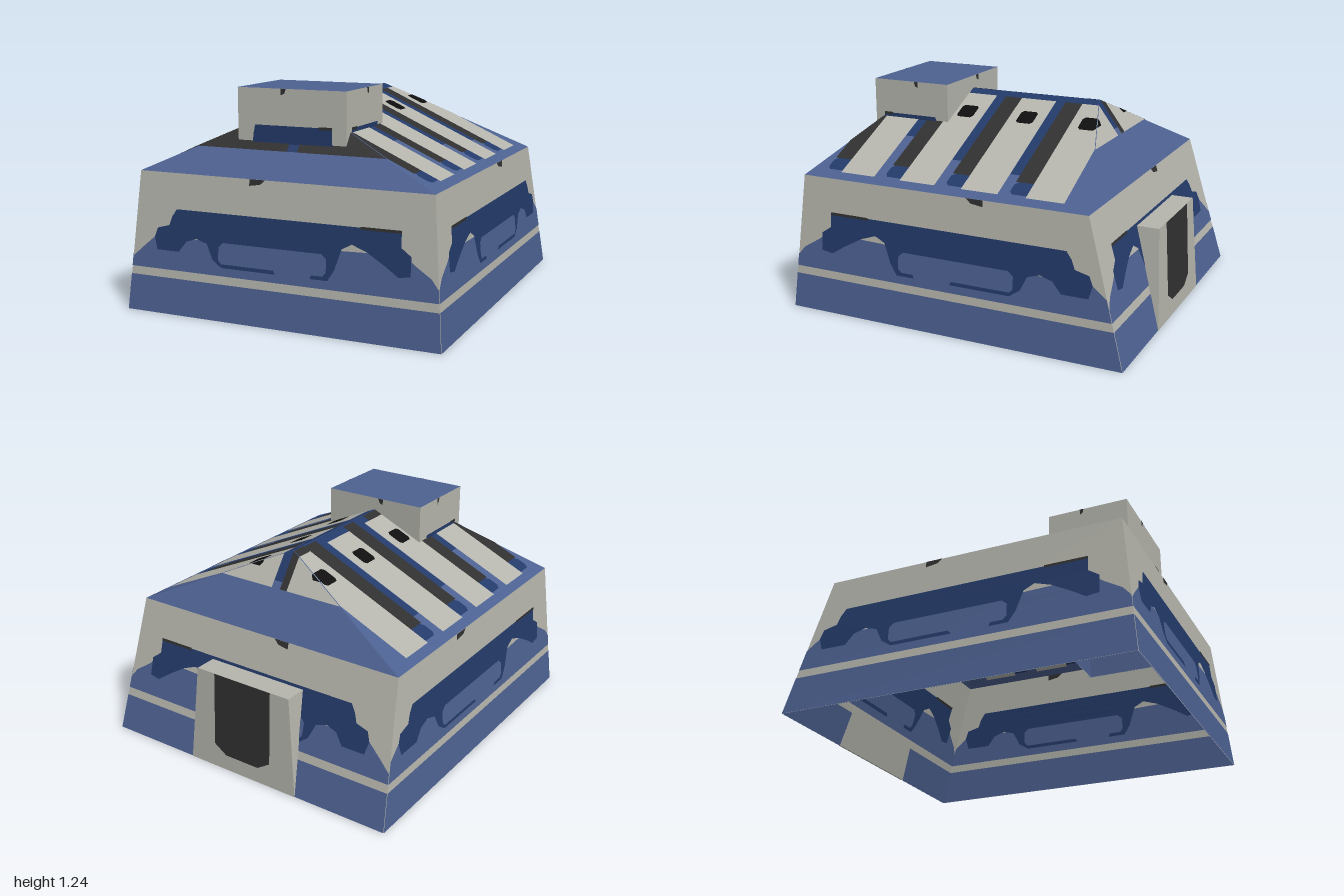
import * as THREE from 'three';
import { ConvexGeometry } from 'three/addons/geometries/ConvexGeometry.js';

const mat = (name, color) => new THREE.MeshStandardMaterial({ name, color, side: THREE.DoubleSide });
const V = (x, y, z) => new THREE.Vector3(x, y, z);
const lerp = THREE.MathUtils.lerp;
const rect = (a0, b0, a1, b1) => [[a0, b0], [a1, b0], [a1, b1], [a0, b1]];
const area = p => THREE.ShapeUtils.area(p.map(([x, y]) => ({ x, y })));

// Clip a 2D polygon to a convex outline
function clip(poly, outline) {
  const o = area(outline) < 0 ? [...outline].reverse() : outline;
  let out = poly;
  for (let i = 0; i < o.length; i++) {
    const [ax, ay] = o[i], [bx, by] = o[(i + 1) % o.length];
    const d = p => (bx - ax) * (p[1] - ay) - (by - ay) * (p[0] - ax);
    const src = out;
    out = [];
    src.forEach((p, k) => {
      const q = src[(k + 1) % src.length], dp = d(p), dq = d(q);
      if (dp >= 0) out.push(p);
      if ((dp > 0 && dq < 0) || (dp < 0 && dq > 0)) {
        const t = dp / (dp - dq);
        out.push([lerp(p[0], q[0], t), lerp(p[1], q[1], t)]);
      }
    });
  }
  return out;
}

// A face has a convex 2D outline and a map from 2D to 3D.
// Layer 0 is the surface; higher layers are thin paint on both of its sides.
function paint(group, face, poly, material, layer, name) {
  const p = clip(poly, face.outline);
  if (p.length < 3 || Math.abs(area(p)) < 1e-5) return;
  const [a, b, c] = face.outline.map(q => face.map(...q));
  const n = b.clone().sub(a).cross(c.clone().sub(a)).normalize();
  for (const s of layer ? [-1, 1] : [0]) {
    const g = new THREE.ShapeGeometry(new THREE.Shape(p.map(q => new THREE.Vector2(...q))));
    const pos = g.attributes.position;
    for (let i = 0; i < pos.count; i++) {
      const v = face.map(pos.getX(i), pos.getY(i)).addScaledVector(n, s * layer * 0.002);
      pos.setXYZ(i, v.x, v.y, v.z);
    }
    g.computeVertexNormals();
    const mesh = new THREE.Mesh(g, material);
    mesh.name = name;
    group.add(mesh);
  }
}

export function createModel() {
  const light = mat('light grey', 0xb5b5ad), blue = mat('blue', 0x4d6191);
  const navy = mat('dark blue', 0x233a69), charcoal = mat('charcoal', 0x303030);
  const black = mat('black', 0x0e0e0e);
  const model = new THREE.Group();
  model.name = 'building';
  const part = name => {
    const g = new THREE.Group();
    g.name = name;
    model.add(g);
    return g;
  };

  // Wall pattern: s runs -1..1 across a wall, y runs up
  const H = 0.775;
  const hills = [[-1.1, .245], [1.1, .245], [1.1, .27], [.98, .30], [.93, .36], [.83, .42], [.78, .46],
    [.7, .46], [-.7, .42], [-.82, .42], [-.91, .35], [-.97, .30], [-1.1, .26]];
  const panel = [[-.67, .58], [.75, .58], [.75, .5], [.81, .46], [.81, .36], [.74, .35], [.66, .40], [.55, .46],
    [.46, .49], [.40, .46], [.36, .35], [.32, .29], [-.36, .29], [-.42, .33], [-.46, .41], [-.53, .43],
    [-.6, .41], [-.65, .35], [-.8, .35], [-.82, .42], [-.80, .47], [-.72, .49], [-.70, .54]];
  const inset = [[-.38, .33], [-.36, .31], [-.02, .31], [0, .285], [.21, .285], [.22, .31], [.29, .31],
    [.31, .33], [.31, .40], [.28, .425], [-.35, .425], [-.38, .40]];
  const wallPaint = [
    ['baseBand', rect(-1.1, 0, 1.1, .2), blue, 1],
    ['hillBand', hills, blue, 1],
    ['darkPanel', panel, navy, 2],
    ['panelInset', inset, blue, 3],
    ['panelTrim', rect(.51, .57, .75, .585), charcoal, 3],
    ['topMark', [[-.19, .74], [-.12, .75], [-.09, H], [-.19, H]], charcoal, 1]
  ];

  // Four sloping walls between a bottom and a top rectangle [halfX, zBack, zFront]
  function walls(group, y0, bottom, top) {
    const [hx, zb, zf] = bottom, cz = (zb + zf) / 2, hz = (zf - zb) / 2;
    const at = (i, y) => lerp(bottom[i], top[i], y / H);
    const faces = [];
    for (const i of [1, 2]) {
      faces.push({
        outline: [[-1, 0], [1, 0], [top[0] / hx, H], [-top[0] / hx, H]],
        map: (s, y) => V(s * hx, y0 + y, at(i, y))
      });
    }
    for (const side of [-1, 1]) {
      faces.push({
        outline: [[-1, 0], [1, 0], [(top[2] - cz) / hz, H], [(top[1] - cz) / hz, H]],
        map: (s, y) => V(side * at(0, y), y0 + y, cz + s * hz)
      });
    }
    for (const f of faces) {
      paint(group, f, f.outline, light, 0, 'wall');
      for (const [name, poly, m, layer] of wallPaint) paint(group, f, poly, m, layer, name);
    }
  }
  const bottom = [.92, -1, 1], top = [.855, -.78, .93];
  walls(part('mainWalls'), 0, bottom, top);

  // Hipped roof, with paint laid out in plan (x, z)
  const roof = part('roof');
  const rise = .39, zb = -.49, zf = .62, [rx, rb, rf] = top;
  const slopes = [
    { outline: [[-rx, rf], [rx, rf], [0, zf]], map: (x, z) => V(x, H + rise * (rf - z) / (rf - zf), z) },
    { outline: [[-rx, rb], [rx, rb], [0, zb]], map: (x, z) => V(x, H + rise * (z - rb) / (zb - rb), z) }
  ];
  for (const s of [-1, 1]) {
    slopes.push({
      outline: [[0, zb], [0, zf], [s * rx, rf], [s * rx, rb]],
      map: (x, z) => V(x, H + rise * (1 - s * x / rx), z)
    });
  }
  const roofPaint = [['ridge', rect(-.05, -.6, .05, .82), navy, 1]];
  const gapHalf = [.65, .6, .46, 0];
  for (let i = 0; i < 4; i++) {
    const z = -.625 + i * .376;
    if (gapHalf[i]) roofPaint.push(['gap', rect(-gapHalf[i], z + .31, gapHalf[i], z + .376), navy, 1]);
    for (const s of [-1, 1]) {
      roofPaint.push(
        ['slat', rect(s * .05, z, s * .803, z + .215), light, 2],
        ['slatShade', rect(s < 0 ? -.01 : .05, z + .215, s * .7, z + .318), charcoal, 2],
        ['slatEnd', [[s * .7, z + .215], [s * .79, z + .215], [s * .79, z + .3], [s * .77, z + .318],
          [s * .72, z + .318], [s * .7, z + .3]], navy, 2]
      );
      const cx = s < 0 ? -.22 : .21;
      roofPaint.push(['vent', [[cx - .05, z + .07], [cx - .035, z + .057], [cx + .035, z + .057], [cx + .05, z + .07],
        [cx + .05, z + .147], [cx + .035, z + .16], [cx - .035, z + .16], [cx - .05, z + .147]], black, 3]);
    }
    if (i % 2 === 0) roofPaint.push(['ridgeShade', rect(-.05, z + (i ? .05 : 0), -.005, z + .215), charcoal, 2]);
  }
  for (const f of slopes) {
    paint(roof, f, f.outline, blue, 0, 'roofSlope');
    for (const [name, poly, m, layer] of roofPaint) paint(roof, f, poly, m, layer, name);
  }

  // Open-bottomed tower that passes down through the roof
  const tower = part('tower');
  const box = [.317, .31, .79];
  walls(tower, 1.24 - H, box, box);
  const lid = { outline: rect(-.317, .31, .317, .79), map: (x, z) => V(x, 1.24, z) };
  paint(tower, lid, lid.outline, blue, 0, 'towerTop');

  // Entrance block on the back, with a dark doorway
  const entrance = part('entrance');
  const pts = [];
  for (const s of [-1, 1]) {
    pts.push(V(s * .36, 0, -1.004), V(s * .36, 0, -.995), V(s * .31, .565, -.97), V(s * .31, .565, -.842));
  }
  const block = new THREE.Mesh(new ConvexGeometry(pts), light);
  block.name = 'entranceBlock';
  entrance.add(block);
  const doorFace = {
    outline: [[-.36, 0], [.36, 0], [.31, .565], [-.31, .565]],
    map: (x, y) => V(x, y, -1.004 + .034 * y / .565)
  };
  paint(entrance, doorFace, [[-.19, .565], [-.19, .14], [-.11, .09], [.11, .09], [.19, .14], [.19, .565]],
    charcoal, 1, 'doorway');

  return model;
}
